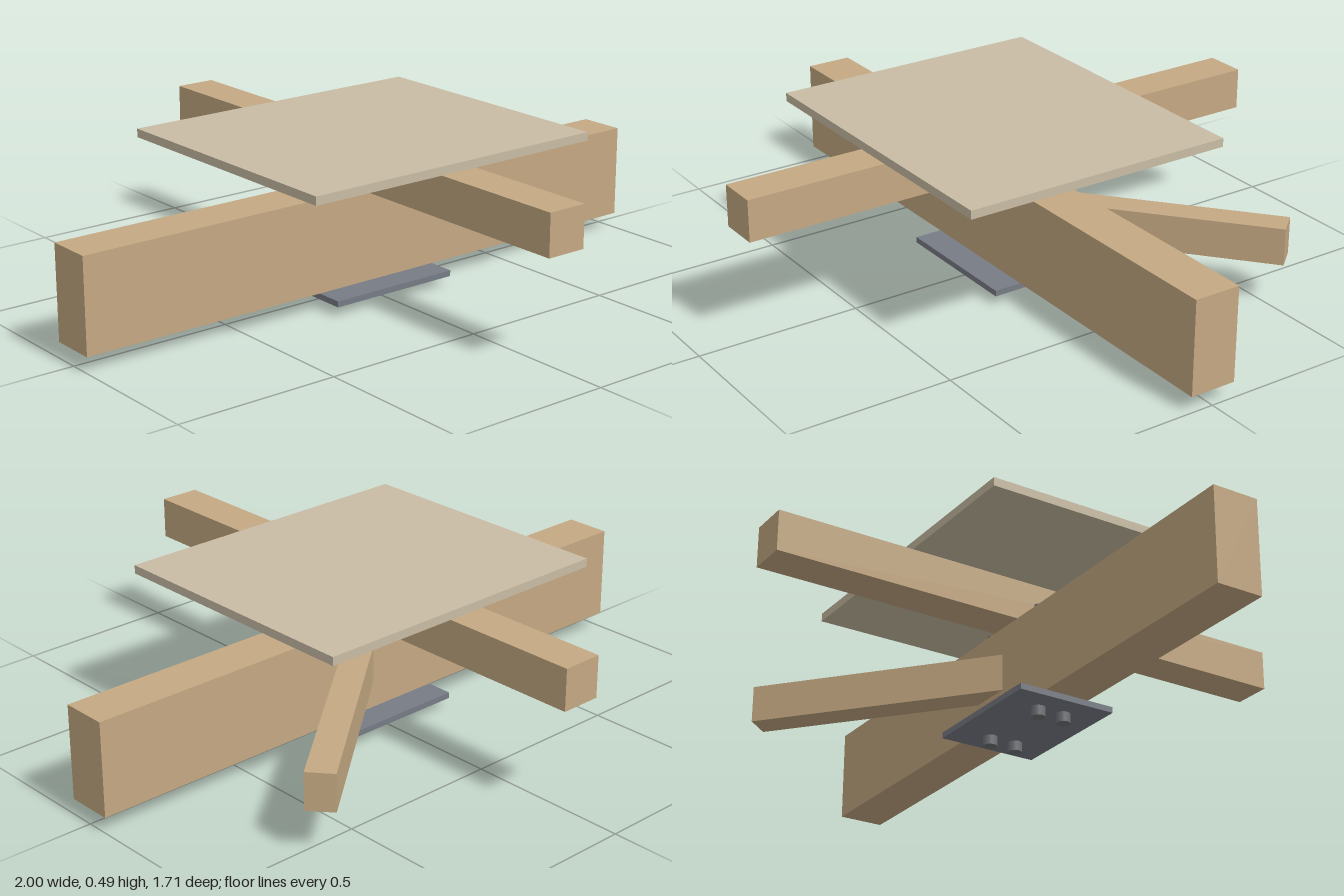
import * as THREE from 'three';

export function createModel() {
  const model = new THREE.Group();
  model.name = 'beamJoint';

  const material = (name, color) => {
    const m = new THREE.MeshStandardMaterial({ color });
    m.name = name;
    return m;
  };
  const timber = material('timber', 0xc4a882);
  const board = material('board', 0xc8bca4);
  const steel = material('plateSteel', 0x777b84);
  const boltSteel = material('boltSteel', 0x707176);

  const add = (name, geometry, mat, x, y, z, parent = model) => {
    const mesh = new THREE.Mesh(geometry, mat);
    mesh.name = name;
    mesh.position.set(x, y, z);
    parent.add(mesh);
    return mesh;
  };
  const box = (w, h, d) => new THREE.BoxGeometry(w, h, d);

  // Main beam, crossing joist and the panel on top
  add('mainBeam', box(2, 0.286, 0.143), timber, 0, 0.191, 0);
  add('joist', box(0.125, 0.126, 1.714), timber, 0, 0.397, 0);
  add('deckPanel', box(1, 0.026, 0.857), board, 0, 0.473, 0);

  // Diagonal brace running out of the beam centre toward the back left
  const brace = new THREE.Group();
  brace.name = 'diagonalBrace';
  brace.position.y = 0.191;
  brace.rotation.y = THREE.MathUtils.degToRad(40);
  add('braceTimber', box(0.857, 0.114, 0.086), timber, 0.4285, 0, 0, brace);
  model.add(brace);

  // Base plate under the beam
  add('basePlate', box(0.428, 0.018, 0.314), steel, 0, 0.039, 0);

  // Four bolts through plate and beam, heads below and tips above
  const headGeometry = new THREE.CylinderGeometry(0.0215, 0.0215, 0.03, 16);
  const shankGeometry = new THREE.CylinderGeometry(0.01, 0.01, 0.337, 16);
  for (const x of [-0.129, 0.129]) {
    for (const z of [-0.043, 0.043]) {
      const bolt = new THREE.Group();
      bolt.name = 'bolt';
      bolt.position.set(x, 0, z);
      add('boltHead', headGeometry, boltSteel, 0, 0.015, 0, bolt);
      add('boltShank', shankGeometry, boltSteel, 0, 0.1885, 0, bolt);
      model.add(bolt);
    }
  }
  return model;
}
